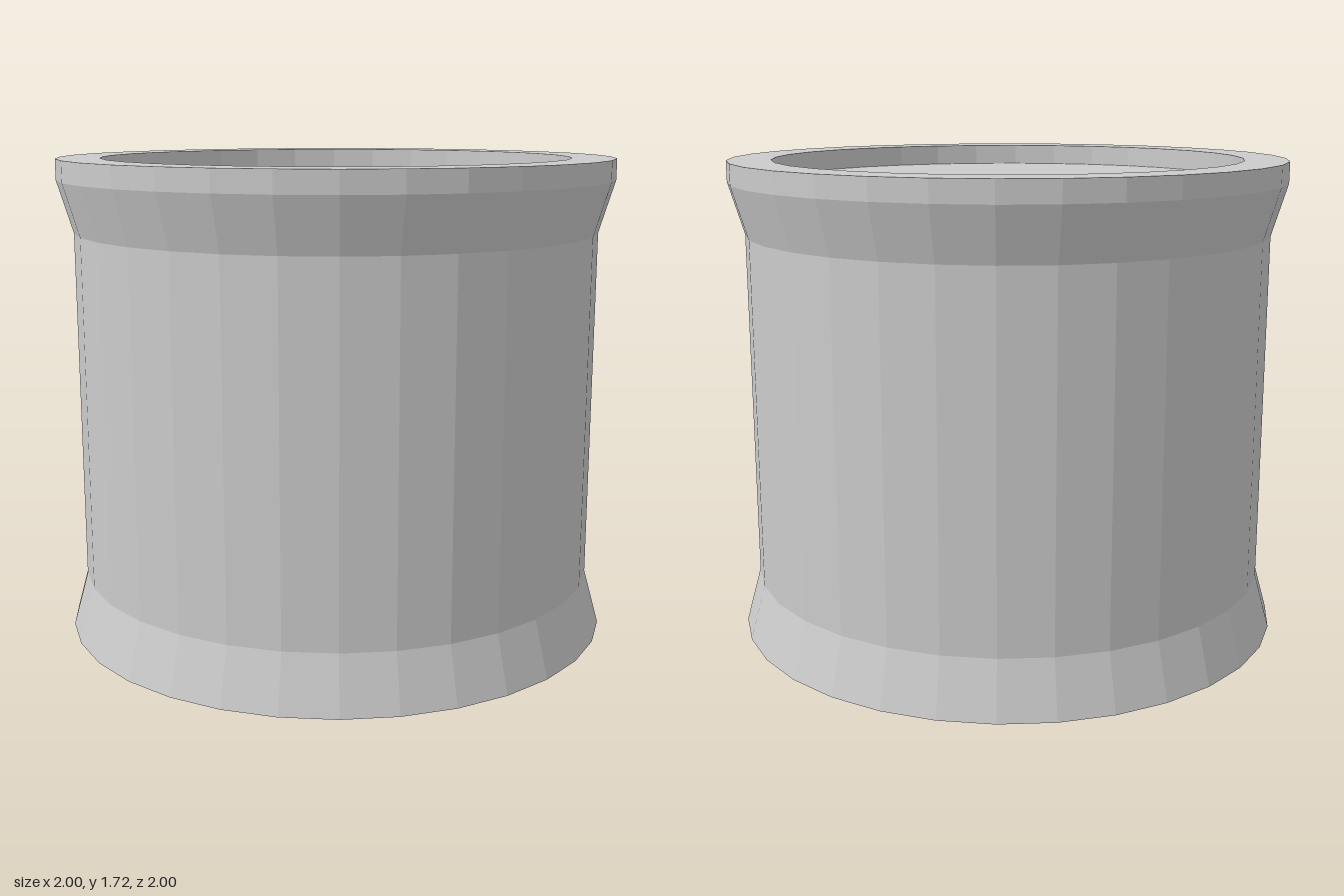
import * as THREE from 'three';

const SIDES = 32;
const material = new THREE.MeshStandardMaterial({ color: 0xcccccc, flatShading: true });

export function createModel() {
  const group = new THREE.Group();
  group.name = 'drum';

  const add = (name, geometry) => {
    const mesh = new THREE.Mesh(geometry, material);
    mesh.name = name;
    group.add(mesh);
    return mesh;
  };

  // Surface of revolution from [radius, height] points
  const turned = (name, profile) =>
    add(name, new THREE.LatheGeometry(profile.map(([r, y]) => new THREE.Vector2(r, y)), SIDES));

  // Flat horizontal disc facing up (1) or down (-1)
  const disc = (name, radius, y, facing) => {
    const mesh = add(name, new THREE.CircleGeometry(radius, SIDES));
    mesh.rotation.x = -facing * Math.PI / 2;
    mesh.position.y = y;
  };

  // Flared foot, straight wall and flared collar
  turned('flaredFoot', [[1, 0], [0.945, 0.2]]);
  turned('wall', [[0.945, 0.2], [0.945, 1.46]]);
  turned('flaredCollar', [[0.945, 1.46], [1, 1.645]]);

  // Raised rim around the recessed top
  turned('rim', [[1, 1.645], [1, 1.72], [0.845, 1.72], [0.845, 1.645]]);

  // Closed top and underside
  disc('recessedTop', 0.845, 1.645, 1);
  disc('underside', 1, 0, -1);

  return group;
}
